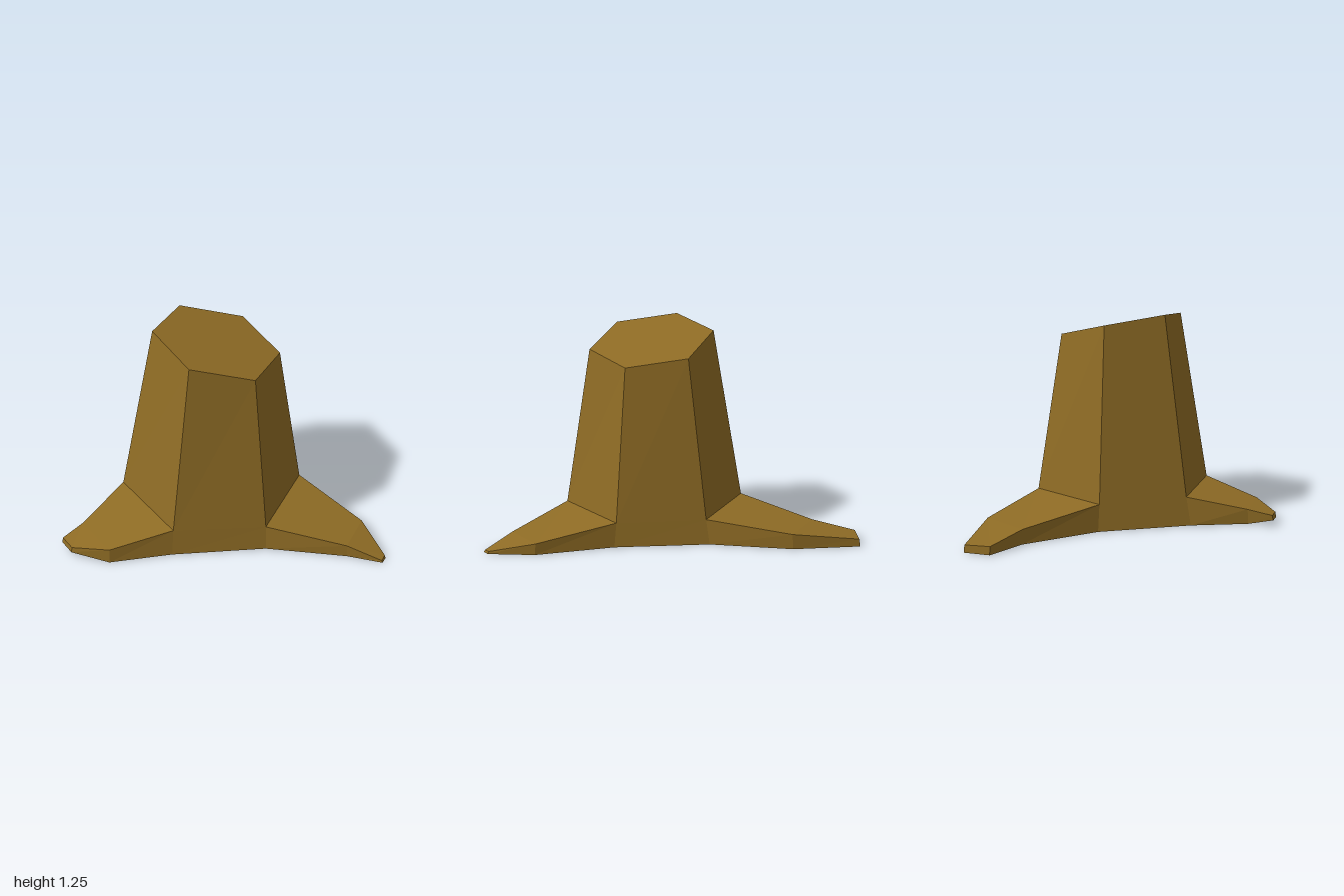
import * as THREE from 'three';

// Cut, slanted top of the trunk (clockwise from above, starting at +x)
const crownXZ = [[0.37, 0.325], [0.19, 0.65], [-0.18, 0.65], [-0.36, 0.325], [-0.18, 0], [0.19, 0]];
const crown = crownXZ.map(([x, z]) => [x, 1.153 - 0.267 * x, z]);

// Foot of the trunk, where it meets the roots, and the same corners on the ground
const collar = [[0.51, 0.145, 0.325], [0.25, 0.15, 0.79], [-0.29, 0.165, 0.79],
  [-0.555, 0.17, 0.325], [-0.29, 0.16, -0.14], [0.25, 0.15, -0.14]];
const ground = [[0.53, 0, 0.33], [0.25, 0, 0.81], [-0.3, 0, 0.81],
  [-0.59, 0, 0.33], [-0.305, 0, -0.165], [0.255, 0, -0.165]];

// Each root grows from one trunk side: four upper outline points, and the heights of their undersides
const roots = [
  { name: 'frontLeftRoot', side: 0, low: [0, 0, 0, 0],
    top: [[0.835, 0.067, 0.69], [0.93, 0.015, 0.95], [0.905, 0.012, 0.99], [0.71, 0.075, 0.915]] },
  { name: 'frontRightRoot', side: 2, low: [0, 0.028, 0.035, 0.005],
    top: [[-0.665, 0.09, 0.84], [-0.88, 0.06, 0.763], [-0.93, 0.065, 0.677], [-0.81, 0.095, 0.59]] },
  { name: 'backRoot', side: 4, low: [0, 0, 0, 0],
    top: [[-0.182, 0.09, -0.65], [-0.207, 0.05, -0.915], [-0.07, 0.045, -0.99], [0.135, 0.09, -0.645]] },
];

// Flat-shaded mesh from convex polygons
function facetMesh(name, polygons, material) {
  const positions = [];
  for (const p of polygons) {
    for (let i = 1; i < p.length - 1; i++) positions.push(...p[0], ...p[i], ...p[i + 1]);
  }
  const geometry = new THREE.BufferGeometry();
  geometry.setAttribute('position', new THREE.Float32BufferAttribute(positions, 3));
  geometry.computeVertexNormals();
  const mesh = new THREE.Mesh(geometry, material);
  mesh.name = name;
  return mesh;
}

// Strip of quads between an upper and a lower outline
function wall(upper, lower) {
  return upper.slice(1).map((u, i) => [upper[i], u, lower[i + 1], lower[i]]);
}

const closed = (ring) => [...ring, ring[0]];

export function createModel() {
  const bark = new THREE.MeshStandardMaterial({ color: 0x8f6c25 });
  bark.name = 'brownWood';
  const group = new THREE.Group();
  group.name = 'treeStump';

  // Trunk
  group.add(facetMesh('trunk', wall(closed(crown), closed(collar)), bark));
  group.add(facetMesh('cutTop', [[...crown].reverse()], bark));

  const outline = [];
  for (let side = 0; side < 6; side++) {
    const next = (side + 1) % 6;
    outline.push(ground[side]);
    const root = roots.find((r) => r.side === side);
    if (root) {
      // Root: sloping top in two facets, and a low wall around it
      const [p1, p2, p3, p4] = root.top;
      const foot = root.top.map(([x, , z], i) => [x * 1.005, root.low[i], z * 1.006]);
      const upper = [collar[side], ...root.top, collar[next]];
      const lower = [ground[side], ...foot, ground[next]];
      group.add(facetMesh(root.name, [
        [collar[next], p4, p1, collar[side]], [p4, p3, p2, p1], ...wall(upper, lower),
      ], bark));
      outline.push(...foot);
    } else {
      // Short skirt between two roots
      group.add(facetMesh('trunkSkirt',
        wall([collar[side], collar[next]], [ground[side], ground[next]]), bark));
    }
  }

  // Underside
  const ring = closed(outline);
  const centre = [0, 0, 0.33];
  group.add(facetMesh('underside', outline.map((p, i) => [centre, p, ring[i + 1]]), bark));
  return group;
}
